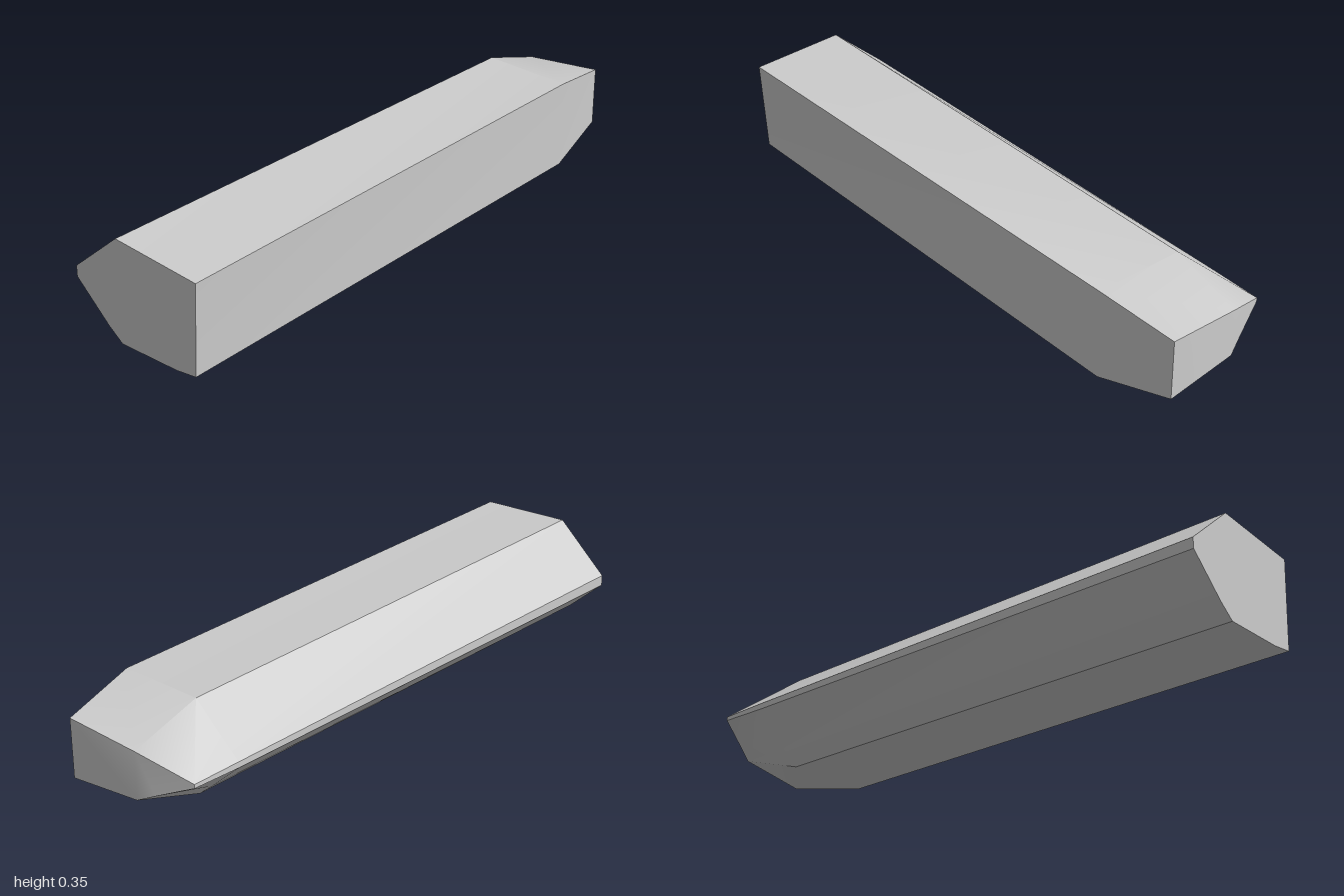
import * as THREE from 'three';
import { toCreasedNormals } from 'three/addons/utils/BufferGeometryUtils.js';

// Cross-sections [x, y, z], running front top, ridge, back edge, underside, front bottom
const SECTIONS = [
  // square-cut end
  [[-1, 0.333, 0.253], [-1, 0.354, -0.07], [-1, 0.197, -0.252], [-1, 0.16, -0.252],
    [-1, 0.043, -0.125], [-1, 0.002, -0.07], [-1, 0.009, 0.157], [-1, 0.02, 0.236]],
  // start of the taper
  [[0.74, 0.322, 0.234], [0.74, 0.331, -0.07], [0.74, 0.186, -0.242], [0.74, 0.166, -0.242],
    [0.74, 0.058, -0.125], [0.74, 0.01, -0.07], [0.74, 0.017, 0.157], [0.74, 0.02, 0.234]],
  // slanted tip
  [[1, 0.273, 0.188], [0.98, 0.254, -0.07], [0.91, 0.184, -0.24], [0.91, 0.171, -0.24],
    [0.957, 0.119, -0.125], [0.98, 0.093, -0.07], [0.998, 0.075, 0.157], [1, 0.072, 0.188]],
];

// Triangles closing a section: front half, then back half
const CAP = [[0, 1, 5], [0, 5, 6], [0, 6, 7], [1, 2, 3], [1, 3, 4], [1, 4, 5]];

function loft(sections) {
  const positions = [];
  const tri = (a, b, c) => positions.push(...a, ...b, ...c);
  const n = sections[0].length;
  const first = sections[0];
  const last = sections[sections.length - 1];

  // long sides
  for (let s = 0; s < sections.length - 1; s++) {
    for (let i = 0; i < n; i++) {
      const j = (i + 1) % n;
      const [p, q] = [sections[s], sections[s + 1]];
      tri(p[i], q[i], q[j]);
      tri(p[i], q[j], p[j]);
    }
  }
  // end faces
  for (const [a, b, c] of CAP) {
    tri(first[a], first[b], first[c]);
    tri(last[a], last[c], last[b]);
  }

  const geometry = new THREE.BufferGeometry();
  geometry.setAttribute('position', new THREE.Float32BufferAttribute(positions, 3));
  return toCreasedNormals(geometry, THREE.MathUtils.degToRad(30));
}

export function createModel() {
  const grey = new THREE.MeshStandardMaterial({ color: 0xcccccc });
  grey.name = 'light grey';

  const group = new THREE.Group();
  group.name = 'taperedBar';

  const bar = new THREE.Mesh(loft(SECTIONS), grey);
  bar.name = 'barBody';
  group.add(bar);
  return group;
}
